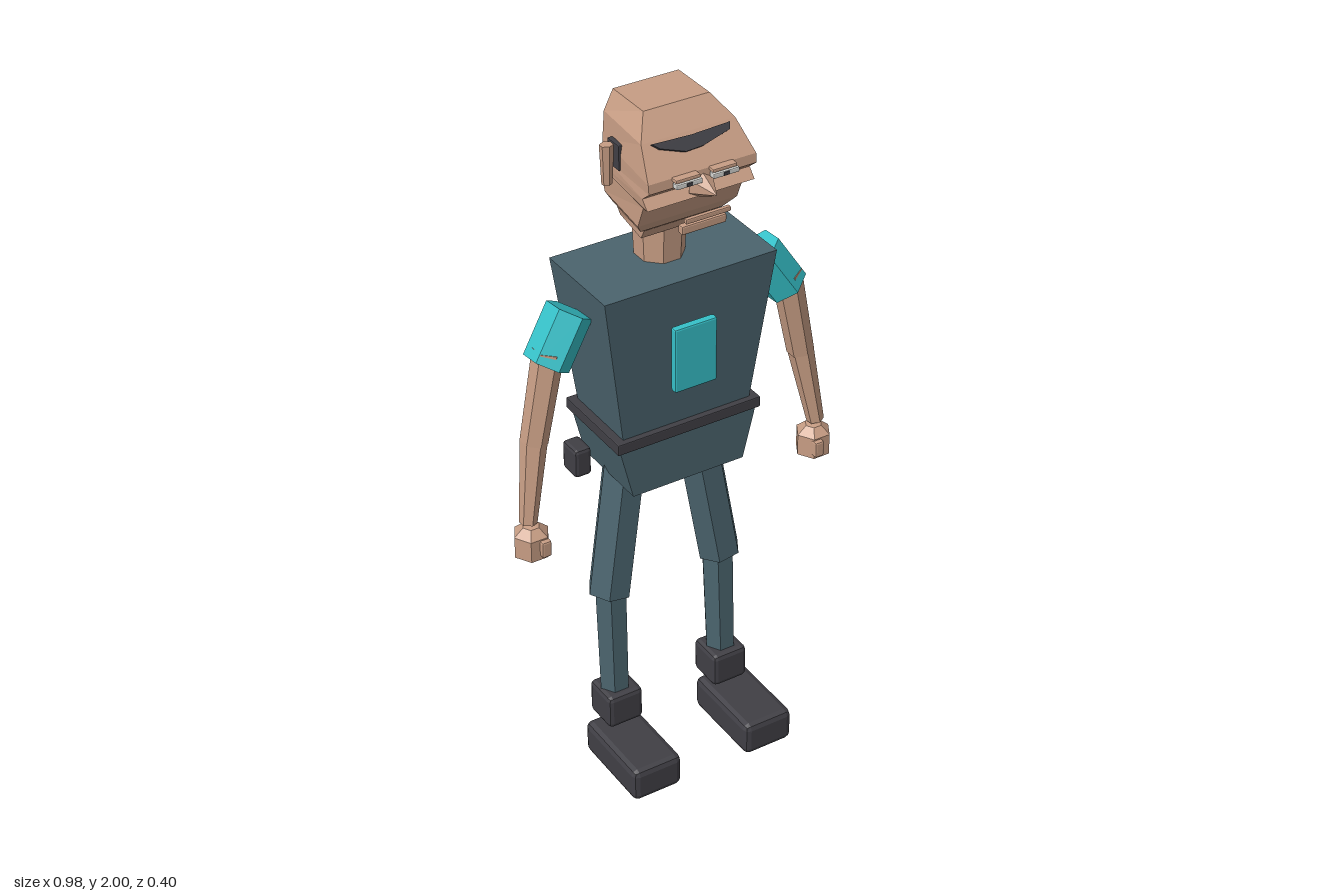
import * as THREE from 'three';
import { RoundedBoxGeometry } from 'three/addons/geometries/RoundedBoxGeometry.js';

const mat = (name, color) => {
  const m = new THREE.MeshStandardMaterial({ color });
  m.name = name;
  return m;
};

export function createModel() {
  const skin = mat('skin', 0xc79d84);
  const cloth = mat('slate cloth', 0x4b646e);
  const dark = mat('charcoal', 0x403f45);
  const teal = mat('teal', 0x36c0c8);
  const white = mat('eye white', 0xd6d6d2);
  const model = new THREE.Group();

  // Faceted mesh: split vertices so every face has its own normal
  const add = (name, geometry, material, parent = model) => {
    const g = geometry.index ? geometry.toNonIndexed() : geometry;
    g.computeVertexNormals();
    const mesh = new THREE.Mesh(g, material);
    mesh.name = name;
    parent.add(mesh);
    return mesh;
  };

  // Chamfered block
  const block = (name, size, pos, chamfer, material, parent) => {
    const mesh = add(name, new RoundedBoxGeometry(...size, 1, chamfer), material, parent);
    mesh.position.set(...pos);
    return mesh;
  };

  // Stack of four-cornered sections: [y, half width front, half width back, z front, z back]
  const loft = (name, rings, material) => {
    const pos = [], idx = [];
    for (const [y, wf, wb, zf, zb] of rings) pos.push(-wf, y, zf, wf, y, zf, wb, y, zb, -wb, y, zb);
    for (let r = 0; r < rings.length - 1; r++) {
      for (let i = 0; i < 4; i++) {
        const a = r * 4 + i, b = r * 4 + (i + 1) % 4;
        idx.push(a, b, b + 4, a, b + 4, a + 4);
      }
    }
    const t = (rings.length - 1) * 4;
    idx.push(0, 2, 1, 0, 3, 2, t, t + 1, t + 2, t, t + 2, t + 3);
    const g = new THREE.BufferGeometry();
    g.setAttribute('position', new THREE.Float32BufferAttribute(pos, 3));
    g.setIndex(idx);
    return add(name, g, material);
  };

  // Six-sided limb segment from a (top) to b (bottom)
  const limb = (name, a, b, ra, rb, turn, material, parent) => {
    const top = new THREE.Vector3(...a), bottom = new THREE.Vector3(...b);
    const axis = top.clone().sub(bottom);
    const g = new THREE.CylinderGeometry(ra, rb, axis.length(), 6, 1, false, turn);
    const mesh = add(name, g, material, parent);
    mesh.position.copy(top).add(bottom).multiplyScalar(0.5);
    mesh.quaternion.setFromUnitVectors(new THREE.Vector3(0, 1, 0), axis.normalize());
    return mesh;
  };

  // Body
  loft('torso', [
    [1.09, 0.192, 0.192, 0.05, -0.18],
    [1.54, 0.255, 0.255, 0.074, -0.2],
  ], cloth);
  loft('pelvis', [
    [0.92, 0.17, 0.17, 0.06, -0.19],
    [1.08, 0.21, 0.21, 0.06, -0.19],
  ], cloth);
  block('belt', [0.436, 0.032, 0.268], [0, 1.086, -0.066], 0.003, dark);
  block('chestPlate', [0.126, 0.19, 0.022], [-0.002, 1.322, 0.088], 0.005, teal);
  block('beltPouch', [0.05, 0.085, 0.07], [-0.265, 1.008, -0.065], 0.01, dark);

  // Neck and head
  const neck = add('neck', new THREE.CylinderGeometry(0.072, 0.066, 0.13, 8, 1, false, Math.PI / 8), skin);
  neck.position.set(0, 1.595, -0.082);
  loft('head', [
    [1.642, 0.098, 0.08, -0.01, -0.14],
    [1.675, 0.102, 0.09, 0.012, -0.143],
    [1.685, 0.12, 0.1, 0.025, -0.145],
    [1.72, 0.145, 0.122, 0.053, -0.145],
    [1.785, 0.145, 0.125, 0.08, -0.145],
    [1.795, 0.155, 0.125, 0.115, -0.145],
    [1.82, 0.155, 0.125, 0.092, -0.145],
    [1.845, 0.155, 0.125, 0.123, -0.145],
    [1.87, 0.155, 0.125, 0.12, -0.145],
    [1.945, 0.135, 0.12, 0.055, -0.145],
    [2.0, 0.095, 0.095, 0.0, -0.142],
  ], skin);

  // Brow strip lying on the sloping forehead
  const browShape = new THREE.Shape([
    [-0.112, 0.02], [-0.095, 0.004], [-0.03, -0.02], [0.02, -0.018], [0.105, 0.002], [0.112, 0.02], [0, 0.016],
  ].map(p => new THREE.Vector2(...p)));
  const brow = add('brow', new THREE.ExtrudeGeometry(browShape, { depth: 0.008, bevelEnabled: false }), dark);
  brow.position.set(0, 1.925, 0.074);
  brow.rotation.x = -0.71;

  // Nose and lips
  const noseShape = new THREE.ConeGeometry(0.038, 0.075, 6);
  noseShape.rotateX(Math.PI / 2);
  const nose = add('nose', noseShape, skin);
  nose.position.set(0, 1.827, 0.148);
  block('upperLip', [0.13, 0.014, 0.012], [0, 1.755, 0.143], 0.003, skin);
  block('lowerLip', [0.13, 0.024, 0.02], [0, 1.72, 0.12], 0.004, skin);

  for (const s of [1, -1]) {
    const side = s > 0 ? 'left' : 'right';

    // Eyes
    block(side + 'Eye', [0.075, 0.014, 0.02], [s * 0.053, 1.856, 0.136], 0.003, white);
    block(side + 'Pupil', [0.016, 0.01, 0.006], [s * 0.053, 1.856, 0.145], 0.001, dark);
    block(side + 'Eyelid', [0.07, 0.01, 0.024], [s * 0.053, 1.867, 0.128], 0.003, skin);

    // Ears with dark hair patches behind them
    block(side + 'HairPatch', [0.016, 0.07, 0.055], [s * 0.134, 1.865, -0.067], 0.003, dark);
    const ear = add(side + 'Ear', new THREE.CylinderGeometry(0.016, 0.012, 0.11, 6), skin);
    ear.position.set(s * 0.157, 1.84, -0.072);
    ear.scale.set(1.2, 1, 1);

    // Arm
    const arm = new THREE.Group();
    arm.name = side + 'Arm';
    model.add(arm);
    limb(side + 'Sleeve', [s * 0.282, 1.47, -0.055], [s * 0.362, 1.345, -0.04], 0.063, 0.063, 0, teal, arm);
    limb(side + 'UpperArm', [s * 0.358, 1.39, -0.032], [s * 0.41, 1.13, -0.03], 0.042, 0.037, 0, skin, arm);
    limb(side + 'Forearm', [s * 0.41, 1.135, -0.03], [s * 0.449, 0.905, -0.005], 0.036, 0.024, 0, skin, arm);
    const fist = new THREE.LatheGeometry(
      [[0, -0.06], [0.05, -0.033], [0.05, 0.03], [0.024, 0.052], [0, 0.055]].map(p => new THREE.Vector2(...p)),
      6, Math.PI / 6);
    const hand = add(side + 'Hand', fist, skin, arm);
    hand.position.set(s * 0.442, 0.843, -0.003);
    block(side + 'Thumb', [0.028, 0.048, 0.04], [s * 0.427, 0.845, 0.034], 0.005, skin, arm);

    // Leg
    const leg = new THREE.Group();
    leg.name = side + 'Leg';
    model.add(leg);
    const turn = Math.PI / 6;
    limb(side + 'Thigh', [s * 0.113, 0.935, -0.08], [s * 0.177, 0.535, -0.062], 0.062, 0.062, turn, cloth, leg);
    limb(side + 'Shin', [s * 0.172, 0.54, -0.062], [s * 0.174, 0.2, -0.045], 0.048, 0.044, turn, cloth, leg);
    block(side + 'AnkleCuff', [0.11, 0.105, 0.11], [s * 0.172, 0.167, -0.04], 0.014, dark, leg);
    block(side + 'Boot', [0.154, 0.102, 0.27], [s * 0.182, 0.051, 0.065], 0.018, dark, leg);
  }

  return model;
}
